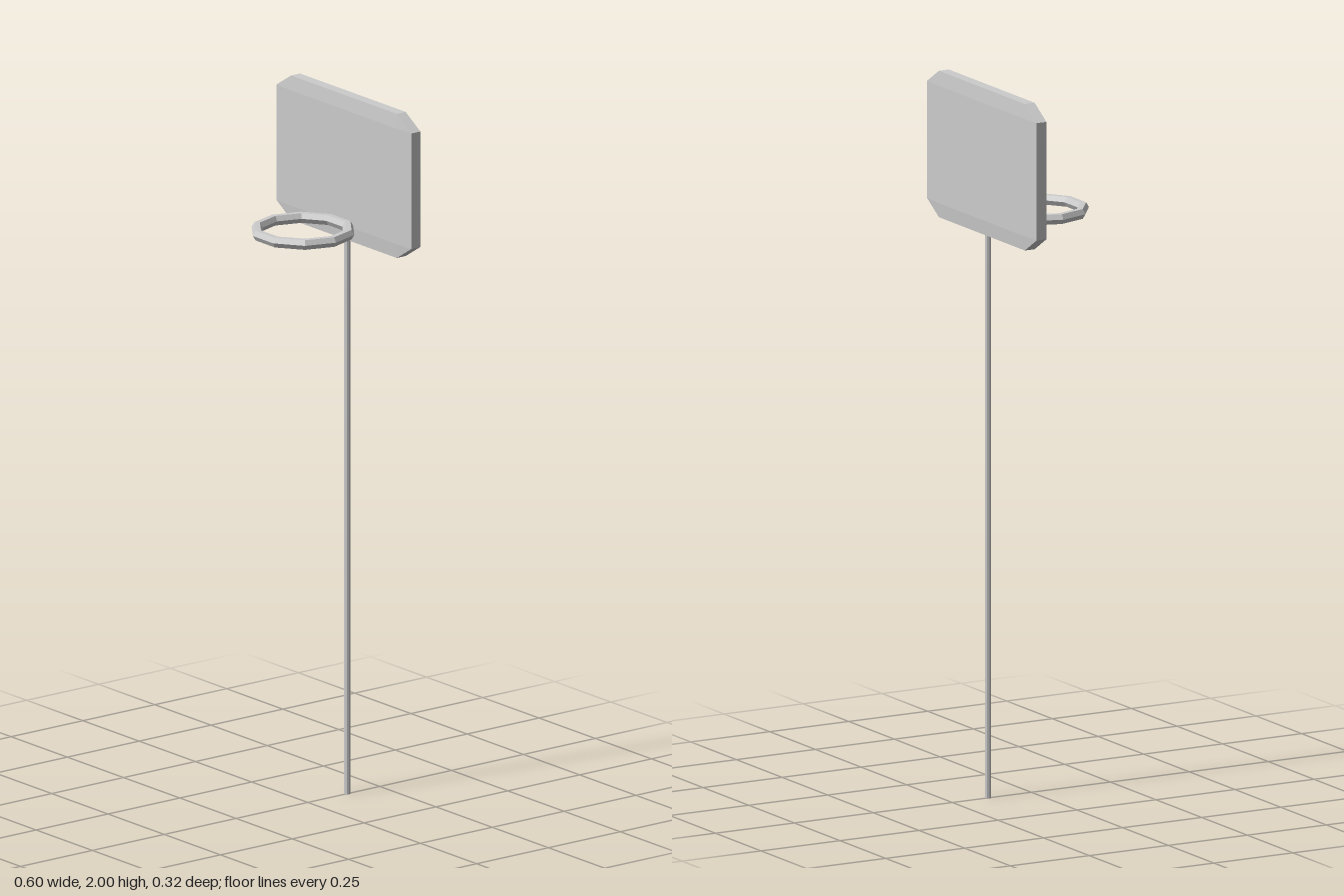
import * as THREE from 'three';
import { ConvexGeometry } from 'three/addons/geometries/ConvexGeometry.js';

const material = new THREE.MeshStandardMaterial({ color: 0xcccccc, flatShading: true });

function addPart(group, name, geometry, x, y, z) {
  const mesh = new THREE.Mesh(geometry, material);
  mesh.name = name;
  mesh.position.set(x, y, z);
  group.add(mesh);
  return mesh;
}

// Slab with cut corners whose faces slope back slightly towards the rim
function backboardGeometry() {
  const inner = { x: 0.235, y: 0.165, z: 0.019 };
  const rim = { x: 0.3, y: 0.206, z: 0.0155 };
  const points = [];
  for (const sx of [-1, 1]) for (const sy of [-1, 1]) for (const sz of [-1, 1]) {
    points.push(
      new THREE.Vector3(sx * inner.x, sy * inner.y, sz * inner.z),
      new THREE.Vector3(sx * rim.x, sy * inner.y, sz * rim.z),
      new THREE.Vector3(sx * inner.x, sy * rim.y, sz * rim.z)
    );
  }
  return new ConvexGeometry(points);
}

export function createModel() {
  const group = new THREE.Group();
  group.name = 'basketballHoop';

  // Thin post up to the underside of the board
  addPart(group, 'pole', new THREE.CylinderGeometry(0.0085, 0.0085, 1.61, 8), 0, 0.805, -0.137);

  addPart(group, 'backboard', backboardGeometry(), 0, 1.794, -0.141);

  // Ten-sided ring, one flat side against the board
  const hoop = addPart(group, 'hoopRing', new THREE.TorusGeometry(0.1305, 0.0158, 6, 10), 0, 1.637, 0.017);
  hoop.rotation.x = Math.PI / 2;

  return group;
}
